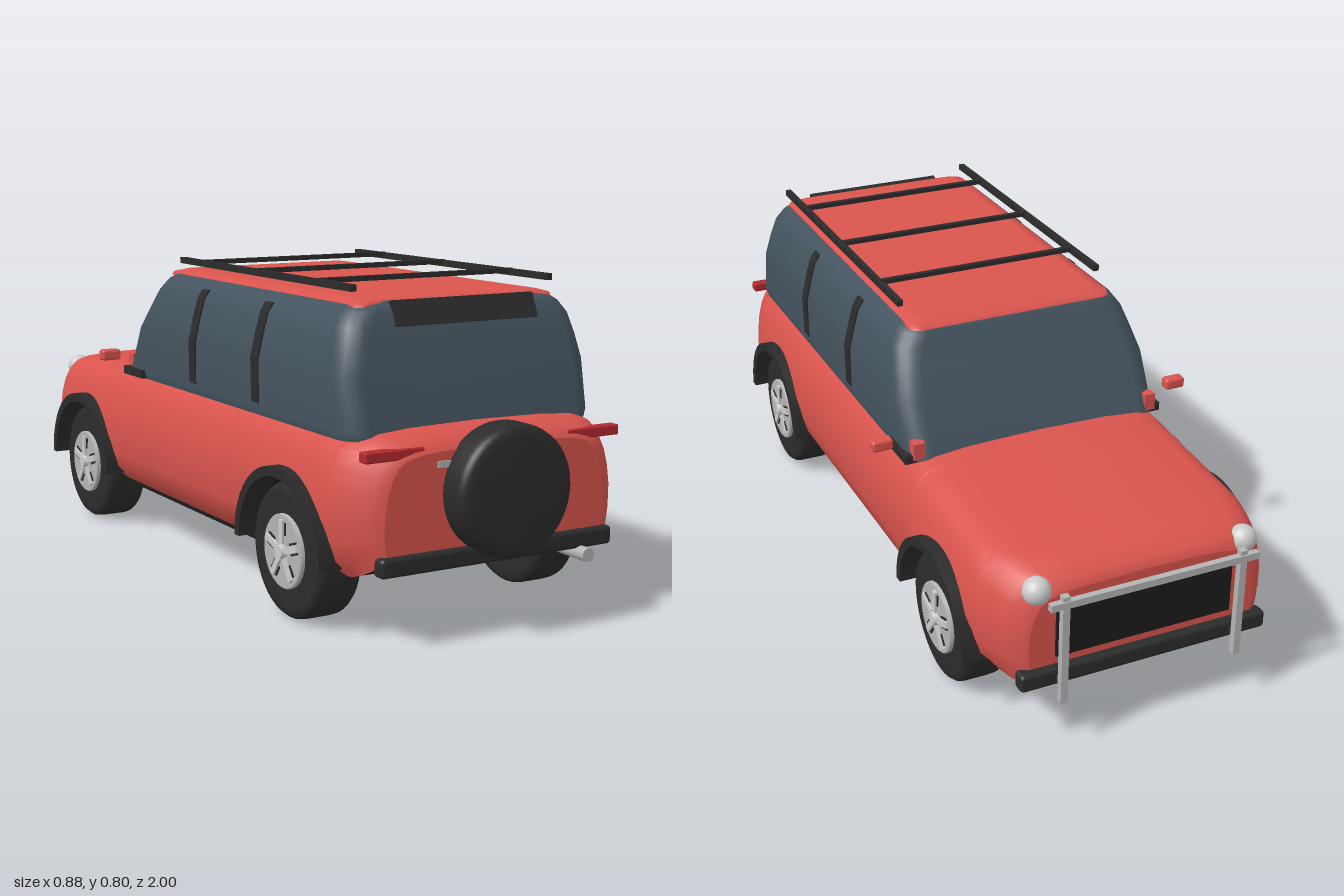
import * as THREE from 'three';
import { RoundedBoxGeometry } from 'three/addons/geometries/RoundedBoxGeometry.js';

const paint = (color, side = THREE.FrontSide) =>
  new THREE.MeshStandardMaterial({ color, side });
const RED = paint(0xd9544d, THREE.DoubleSide), GLASS = paint(0x44535e), DARK = paint(0x2b2b2b);
const FLOOR = paint(0x1c1c1c, THREE.DoubleSide), LAMP = paint(0xb3282d), CHROME = paint(0xb4b4b4);
const LIGHT = paint(0xe4e4e4);

const ARCHES = [-0.61, 0.59], WHEEL_Y = 0.165, ARCH_R = 0.185;

// Linear interpolation in a table of rows [key, value, value...]
function lookup(table, key, col = 1) {
  let i = 0;
  while (i < table.length - 2 && key > table[i + 1][0]) i++;
  const a = table[i], b = table[i + 1];
  const t = THREE.MathUtils.clamp((key - a[0]) / (b[0] - a[0]), 0, 1);
  return a[col] + (b[col] - a[col]) * t;
}

// Skin over a list of equal-length rings, with optional flat end caps
function loft(rings, closed, capFirst, capLast) {
  const n = rings[0].length, pos = rings.flat(2), index = [];
  for (let i = 0; i < rings.length - 1; i++)
    for (let j = 0; j < (closed ? n : n - 1); j++) {
      const k = (j + 1) % n, a = i * n + j, d = i * n + k;
      index.push(a, a + n, d + n, a, d + n, d);
    }
  const cap = (ring, last) => {
    const start = pos.length / 3;
    const mid = [0, 1, 2].map(c => ring.reduce((s, p) => s + p[c], 0) / n);
    pos.push(...ring.flat(), ...mid);
    for (let j = 0; j < n; j++) {
      const a = start + j, b = start + (j + 1) % n;
      index.push(start + n, ...(last ? [b, a] : [a, b]));
    }
  };
  if (capFirst) cap(rings[0], false);
  if (capLast) cap(rings[rings.length - 1], true);
  const g = new THREE.BufferGeometry();
  g.setAttribute('position', new THREE.Float32BufferAttribute(pos, 3));
  g.setIndex(index);
  g.computeVertexNormals();
  return g;
}

// Body along z: z, half width, top, bottom
const BODY = [
  [-0.945, 0.30, 0.40, 0.18], [-0.935, 0.32, 0.425, 0.17], [-0.9, 0.345, 0.44, 0.16],
  [-0.85, 0.365, 0.452, 0.155], [-0.78, 0.382, 0.458, 0.145], [-0.6, 0.385, 0.468, 0.145],
  [-0.38, 0.386, 0.484, 0.145], [0.72, 0.386, 0.484, 0.145], [0.8, 0.38, 0.484, 0.145],
  [0.86, 0.362, 0.48, 0.165], [0.9, 0.34, 0.465, 0.185], [0.915, 0.31, 0.44, 0.2]];
// Side section: height fraction, width fraction
const SIDE = [[0, 0.8], [0.12, 0.94], [0.25, 0.975], [0.45, 1], [0.62, 0.985], [0.76, 0.955],
  [0.87, 0.91], [0.94, 0.85], [0.98, 0.75], [1, 0.5]];

function bodyRings() {
  const zs = BODY.map(r => r[0]).filter(z => ARCHES.every(c => Math.abs(z - c) > ARCH_R));
  for (const c of ARCHES) {
    zs.push(c - ARCH_R - 0.001, c + ARCH_R + 0.001);
    for (let i = 0; i <= 20; i++) zs.push(c - Math.cos(i * Math.PI / 20) * (ARCH_R - 0.0001));
  }
  zs.push(-0.2, 0, 0.2);
  return zs.sort((a, b) => a - b).map(z => {
    const w = lookup(BODY, z, 1), top = lookup(BODY, z, 2);
    let low = lookup(BODY, z, 3);
    for (const c of ARCHES)
      if (Math.abs(z - c) < ARCH_R) low = WHEEL_Y + Math.sqrt(ARCH_R ** 2 - (z - c) ** 2);
    const half = SIDE.map(([u]) => {
      const y = low + u * (top - low);
      return [w * lookup(SIDE, (y - 0.13) / (top - 0.13)), y, z];
    });
    return [...half.map(([x, y]) => [-x, y, z]), [0, top + 0.003, z], ...half.slice().reverse()];
  });
}

// Rounded rectangle ring at height y
function roundedRing(y, hx, z0, z1, r) {
  const ring = [];
  for (let q = 0; q < 4; q++)
    for (let i = 0; i <= 5; i++) {
      const a = (q + i / 5) * Math.PI / 2;
      const cx = (q === 0 || q === 3 ? 1 : -1) * (hx - r), cz = q < 2 ? z1 - r : z0 + r;
      ring.push([cx + Math.cos(a) * r, y, cz + Math.sin(a) * r]);
    }
  return ring;
}

const lathe = (pts, seg = 40) =>
  new THREE.LatheGeometry(pts.map(p => new THREE.Vector2(p[0], p[1])), seg);

export function createModel() {
  const model = new THREE.Group();
  const add = (name, geo, mat, x = 0, y = 0, z = 0, parent = model) => {
    const m = new THREE.Mesh(geo, mat);
    m.name = name;
    m.position.set(x, y, z);
    parent.add(m);
    return m;
  };
  const box = (name, mat, size, at, parent) =>
    add(name, new THREE.BoxGeometry(...size), mat, ...at, parent);
  const soft = (name, mat, size, at, r) =>
    add(name, new RoundedBoxGeometry(...size, 3, r), mat, ...at);

  // Body shell and dark underside with wheel tunnels
  const rings = bodyRings();
  add('body', loft(rings, false, true, true), RED);
  add('underbody', loft(rings.map(r => [r[r.length - 1], r[0]]), false), FLOOR);
  box('floorPan', FLOOR, [0.64, 0.025, 0.82], [0, 0.143, -0.005]);

  // Glass cabin and roof panel
  add('cabin', loft([[0.46, 0.345, -0.39, 0.83], [0.48, 0.35, -0.385, 0.83], [0.6, 0.35, -0.32, 0.808],
    [0.66, 0.336, -0.283, 0.797], [0.71, 0.322, -0.253, 0.784], [0.74, 0.301, -0.236, 0.772],
    [0.755, 0.28, -0.225, 0.76], [0.763, 0.25, -0.2, 0.745]]
    .map(([y, x, a, b]) => roundedRing(y, x, a, b, 0.06)), true, false, true), GLASS);
  add('roof', loft([[0.75, 0.281, -0.235, 0.752], [0.759, 0.278, -0.228, 0.75], [0.767, 0.25, -0.2, 0.735]]
    .map(([y, x, a, b]) => roundedRing(y, x, a, b, 0.03)), true, false, true), RED);
  box('rearWindowTrim', DARK, [0.4, 0.062, 0.012], [0, 0.735, 0.771]).rotation.x = -0.42;

  // Roof rack
  for (const z of [-0.01, 0.28, 0.575]) box('rackCrossbar', DARK, [0.56, 0.012, 0.014], [0, 0.798, z]);

  for (const s of [-1, 1]) {
    box('rackRail', DARK, [0.015, 0.016, 0.88], [s * 0.278, 0.794, 0.29]);

    // Side window pillars following the glass
    const line = [[0.352, 0.49], [0.354, 0.6], [0.34, 0.66], [0.326, 0.71], [0.312, 0.733]];
    const shape = new THREE.Shape([...line, ...line.slice().reverse().map(([x, y]) => [x - 0.02, y])]
      .map(([x, y]) => new THREE.Vector2(s * x, y)));
    for (const z of [0.053, 0.395])
      add('windowPillar', new THREE.ExtrudeGeometry(shape, { depth: 0.036, bevelEnabled: false }),
        DARK, 0, 0, z - 0.018);

    // Mirrors and windscreen corners
    soft('mirror', RED, [0.055, 0.03, 0.032], [s * 0.413, 0.521, -0.345], 0.008);
    box('mirrorBase', DARK, [0.04, 0.022, 0.12], [s * 0.34, 0.472, -0.31]);
    box('windscreenCorner', RED, [0.03, 0.045, 0.03], [s * 0.325, 0.495, -0.365]);

    // Lights
    add('headlight', new THREE.SphereGeometry(0.034, 24, 16), LIGHT, s * 0.27, 0.405, -0.925);
    soft('tailLight', LAMP, [0.155, 0.025, 0.03], [s * 0.278, 0.441, 0.895], 0.004);

    // Front guard posts
    box('guardPost', CHROME, [0.018, 0.29, 0.018], [s * 0.23, 0.275, -0.988]);
    box('guardBracket', DARK, [0.016, 0.016, 0.05], [s * 0.23, 0.19, -0.96]);

    for (const z of ARCHES) {
      // Wheel arch flare
      const arch = new THREE.Shape().absarc(0, 0, 0.205, 0, Math.PI, false);
      arch.absarc(0, 0, 0.181, Math.PI, 0, true);
      const flare = new THREE.ExtrudeGeometry(arch, { depth: 0.06, bevelEnabled: false, curveSegments: 28 });
      flare.translate(0, 0, -0.03).rotateY(Math.PI / 2);
      add('archFlare', flare, DARK, s * 0.375, WHEEL_Y, z);

      // Wheel with rim, slots and hub cap
      const wheel = new THREE.Group();
      wheel.name = 'wheel';
      wheel.position.set(s * 0.318, WHEEL_Y, z);
      if (s < 0) wheel.rotation.y = Math.PI;
      model.add(wheel);
      const tyre = lathe([[0, -0.058], [0.14, -0.058], [0.155, -0.055], [0.163, -0.045], [0.165, -0.03],
        [0.165, 0.03], [0.163, 0.045], [0.155, 0.055], [0.14, 0.058], [0.09, 0.056], [0, 0.056]]);
      add('tyre', tyre.rotateZ(-Math.PI / 2), DARK, 0, 0, 0, wheel);
      const rim = lathe([[0.09, 0.05], [0.09, 0.064], [0.086, 0.068], [0.08, 0.064], [0.03, 0.066], [0, 0.066]]);
      add('rim', rim.rotateZ(-Math.PI / 2), CHROME, 0, 0, 0, wheel);
      add('hubCap', new THREE.CylinderGeometry(0.016, 0.02, 0.016, 20).rotateZ(-Math.PI / 2),
        LIGHT, 0.07, 0, 0, wheel);
      for (let i = 0; i < 5; i++) {
        const spoke = new THREE.Group();
        spoke.rotation.x = i * Math.PI * 2 / 5;
        wheel.add(spoke);
        box('spoke', LIGHT, [0.012, 0.058, 0.016], [0.066, 0.048, 0], spoke);
        for (const t of [-1, 1])
          box('rimSlot', DARK, [0.006, 0.03, 0.005], [0.065, 0.056, t * 0.0125], spoke);
      }
    }
  }

  // Axles
  for (const z of ARCHES)
    add('axle', new THREE.CylinderGeometry(0.014, 0.014, 0.54, 16).rotateZ(Math.PI / 2), DARK, 0, WHEEL_Y, z);

  // Front end
  box('grille', FLOOR, [0.46, 0.14, 0.02], [0, 0.3, -0.942]);
  soft('frontBumper', DARK, [0.65, 0.045, 0.04], [0, 0.185, -0.948], 0.01);
  box('guardBar', CHROME, [0.54, 0.018, 0.016], [0, 0.4, -0.992]);

  // Rear end
  soft('rearBumper', DARK, [0.65, 0.045, 0.04], [0, 0.192, 0.912], 0.01);
  box('tailgateHandle', CHROME, [0.34, 0.015, 0.02], [0, 0.411, 0.909]);
  const spare = lathe([[0, 0], [0.14, 0], [0.152, 0.006], [0.155, 0.02], [0.155, 0.07], [0.152, 0.084],
    [0.143, 0.093], [0.12, 0.097], [0, 0.1]], 48);
  add('spareWheel', spare.rotateX(Math.PI / 2), DARK, 0, 0.343, 0.9);
  add('exhaust', new THREE.CylinderGeometry(0.017, 0.017, 0.12, 20).rotateX(Math.PI / 2), CHROME, 0.232, 0.16, 0.9);

  return model;
}
